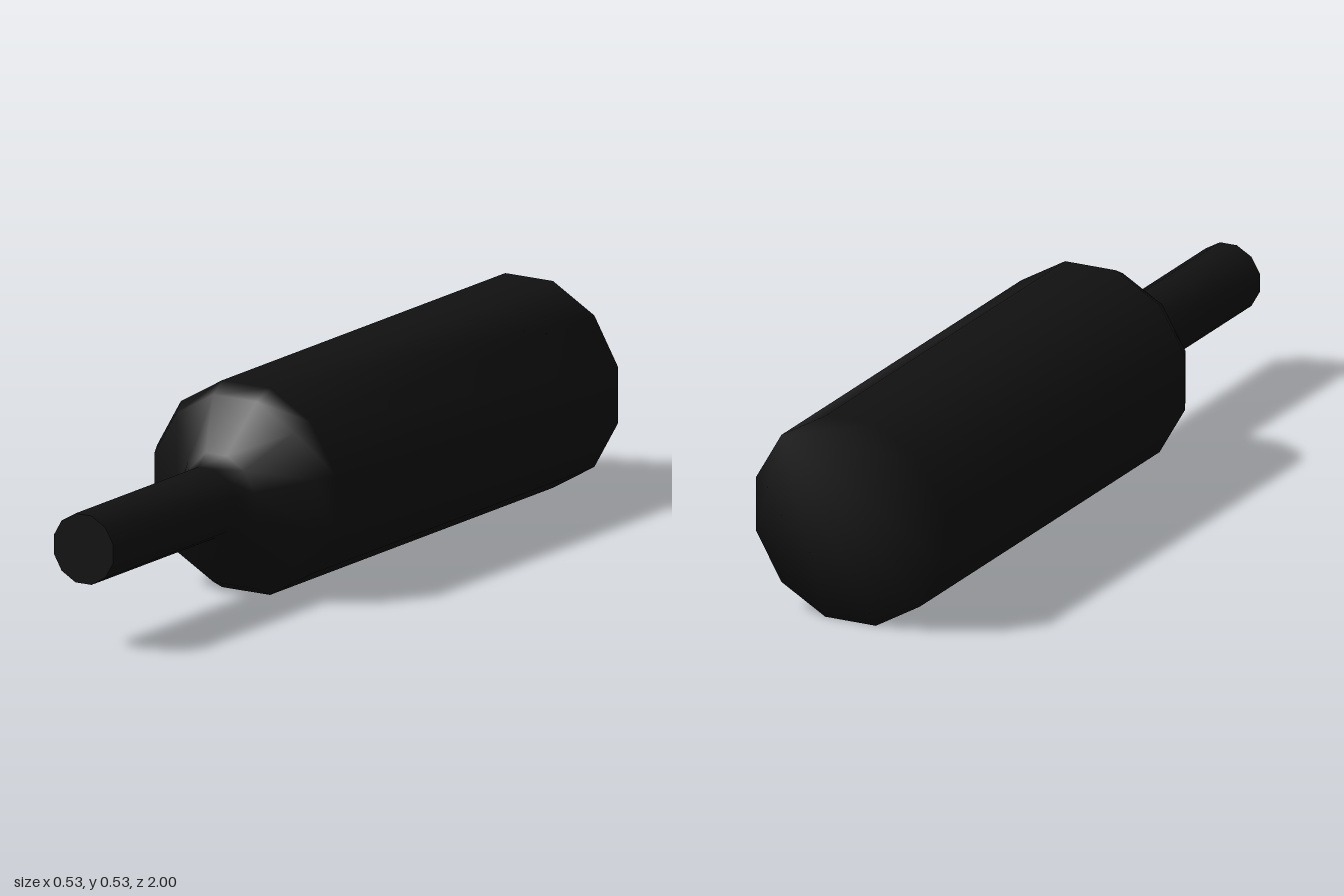
import * as THREE from 'three';

const SIDES = 12;
const AXIS_Y = 0.264;
const STEP = (Math.PI * 2) / SIDES;
const toCorner = 1 / Math.cos(STEP / 2); // flat-to-flat radius -> corner radius

// Flat radius along z, from the tip of the handle to the back of the barrel
const PROFILE = [
  [1, 0.088],
  [0.45, 0.088],
  [0.405, 0.114],
  [0.32, 0.239],
  [0.27, 0.264],
  [-1, 0.264],
];

// Smooth twelve-sided skin whose back end shares its normals with the sides
function bodyGeometry() {
  const positions = [];
  const index = [];
  for (const [z, r] of PROFILE) {
    for (let j = 0; j < SIDES; j++) {
      const a = (j + 0.5) * STEP;
      positions.push(Math.cos(a) * r * toCorner, Math.sin(a) * r * toCorner, z);
    }
  }
  for (let i = 0; i < PROFILE.length - 1; i++) {
    for (let j = 0; j < SIDES; j++) {
      const k = (j + 1) % SIDES;
      const a = i * SIDES + j, b = i * SIDES + k;
      const c = a + SIDES, d = b + SIDES;
      index.push(a, c, b, b, c, d);
    }
  }
  // Back end, fanned from one corner
  const last = (PROFILE.length - 1) * SIDES;
  for (let j = 1; j < SIDES - 1; j++) {
    index.push(last + 1, last + (j + 2) % SIDES, last + (j + 1) % SIDES);
  }
  const geometry = new THREE.BufferGeometry();
  geometry.setAttribute('position', new THREE.Float32BufferAttribute(positions, 3));
  geometry.setIndex(index);
  geometry.computeVertexNormals();
  return geometry;
}

export function createModel() {
  const group = new THREE.Group();
  const black = new THREE.MeshStandardMaterial({ color: 0x111111 });

  // Barrel, tapered shoulder and handle
  const body = new THREE.Mesh(bodyGeometry(), black);
  body.name = 'barrelAndHandle';
  body.position.y = AXIS_Y;

  // Flat tip of the handle
  const [tipZ, tipR] = PROFILE[0];
  const tip = new THREE.Mesh(new THREE.CircleGeometry(tipR * toCorner, SIDES, STEP / 2), black);
  tip.name = 'handleTip';
  tip.position.set(0, AXIS_Y, tipZ);

  group.add(body, tip);
  return group;
}
